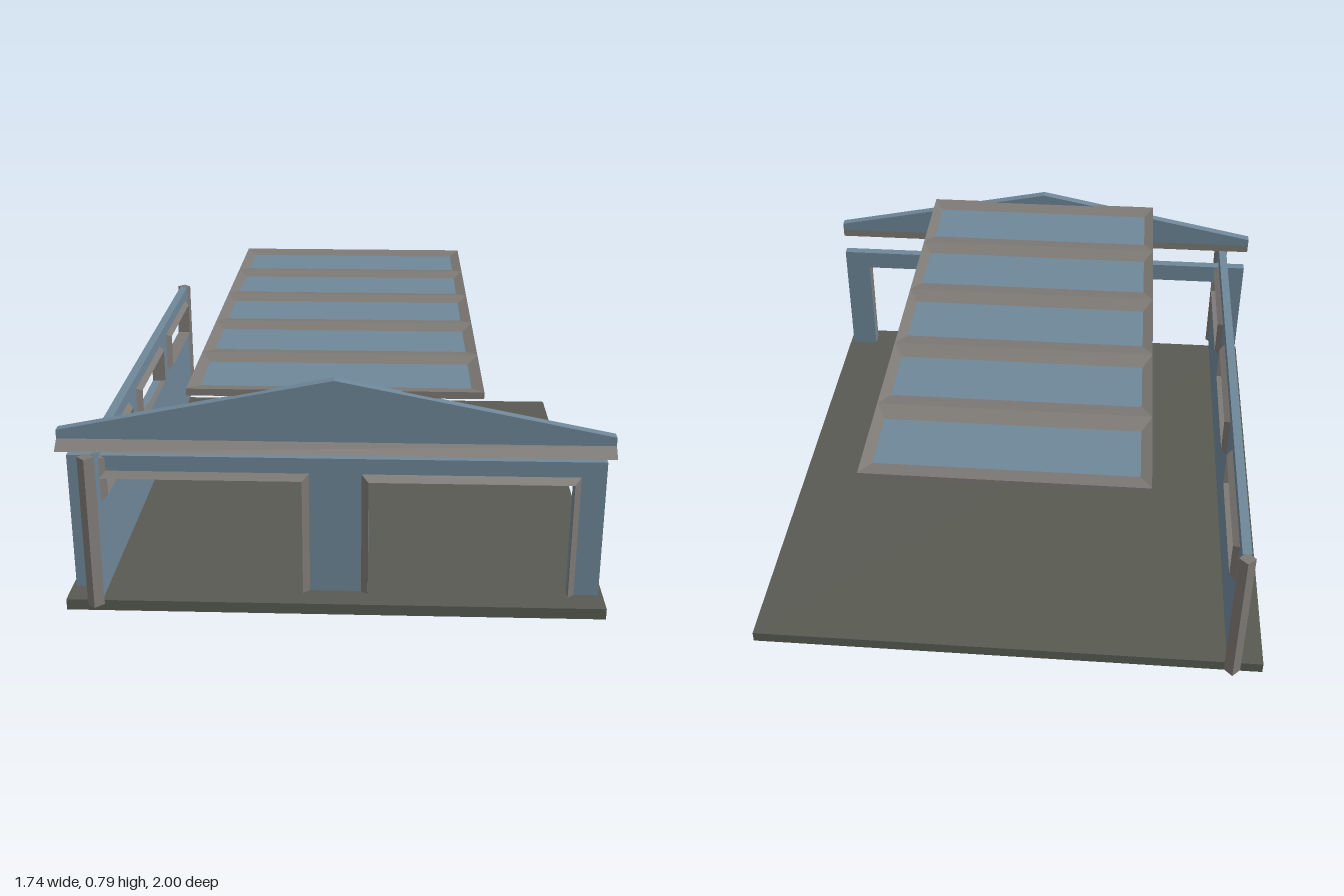
import * as THREE from 'three';

const material = (color, side = THREE.FrontSide) =>
  new THREE.MeshStandardMaterial({ color, side, flatShading: true });
const BLUE = material(0x6f8799);
const GREY = material(0x7d7975, THREE.DoubleSide);
const DARK = material(0x585a52);

const V = (x, y, z) => new THREE.Vector3(x, y, z);

function add(parent, name, geometry, mat) {
  const mesh = new THREE.Mesh(geometry, mat);
  mesh.name = name;
  parent.add(mesh);
  return mesh;
}

function outline(points) {
  return new THREE.Shape(points.map(([x, y]) => new THREE.Vector2(x, y)));
}

function extrude(shape, depth) {
  return new THREE.ExtrudeGeometry(shape, { depth, bevelEnabled: false });
}

// Flat quads between successive rings of points
function strip(rings, closed) {
  const out = [];
  for (let r = 0; r + 1 < rings.length; r++) {
    const a = rings[r], b = rings[r + 1], n = a.length;
    for (let i = 0; i < (closed ? n : n - 1); i++) {
      const j = (i + 1) % n;
      out.push(a[i], a[j], b[j], a[i], b[j], b[i]);
    }
  }
  const geometry = new THREE.BufferGeometry().setFromPoints(out);
  geometry.computeVertexNormals();
  return geometry;
}

// Sloping trim that rises from the wall face and lines the opening
function trim(outer, inner, thickness, rise, closed) {
  const at = (pts, z) => pts.map(([x, y]) => V(x, y, z));
  return strip([at(outer, thickness), at(inner, thickness + rise), at(inner, 0)], closed);
}

const rect = (x0, x1, y0, y1) => [[x0, y0], [x1, y0], [x1, y1], [x0, y1]];

function sideWall() {
  const wall = new THREE.Group();
  wall.name = 'sideWall';
  const thickness = 0.03;
  const shape = outline(rect(-0.955, 0.955, 0.045, 0.555));
  for (const c of [-0.632, -0.005, 0.635]) {
    const inner = rect(c - 0.225, c + 0.225, 0.375, 0.5);
    const outer = rect(c - 0.245, c + 0.245, 0.36, 0.512);
    shape.holes.push(new THREE.Path(inner.map(([x, y]) => new THREE.Vector2(x, y))));
    add(wall, 'windowFrame', trim(outer, inner, thickness, 0.02, true), GREY);
  }
  add(wall, 'wallPanel', extrude(shape, thickness), BLUE);
  // Four-sided posts at both ends
  for (const s of [-1, 1]) {
    const post = add(wall, 'endPost', new THREE.CylinderGeometry(0.027, 0.027, 0.51, 4), GREY);
    post.position.set(s * 0.973, 0.3, thickness / 2);
  }
  wall.rotation.y = Math.PI / 2;
  wall.position.x = -0.775;
  return wall;
}

function frontWall() {
  const wall = new THREE.Group();
  wall.name = 'frontWall';
  const y0 = 0.045, top = 0.44, a = 0.105, b = 0.75, thickness = 0.035;
  const shape = outline([
    [-0.85, y0], [-b, y0], [-b, top], [-a, top], [-a, y0],
    [a, y0], [a, top], [b, top], [b, y0], [0.85, y0], [0.85, 0.512], [-0.85, 0.512],
  ]);
  add(wall, 'wallPanel', extrude(shape, thickness), BLUE);
  for (const s of [-1, 1]) {
    const inner = [[s * a, y0], [s * a, top], [s * b, top], [s * b, y0]];
    const outer = [[s * 0.083, y0], [s * 0.083, 0.46], [s * 0.771, 0.46], [s * 0.771, y0]];
    add(wall, 'doorFrame', trim(outer, inner, thickness, 0.02, false), GREY);
  }
  wall.position.z = 0.825;
  return wall;
}

function gable() {
  const group = new THREE.Group();
  group.name = 'gable';
  const face = outline([[-0.862, 0.59], [0.862, 0.59], [0.862, 0.618], [0, 0.79], [-0.862, 0.618]]);
  add(group, 'gablePanel', extrude(face, 0.033), BLUE).position.z = 0.88;
  // Flared sill below the panel, profile in z and y
  const sill = extrude(outline([[-0.88, 0.56], [-0.88, 0.59], [-0.913, 0.59], [-0.95, 0.56]]), 1.724);
  const mesh = add(group, 'gableSill', sill, GREY);
  mesh.rotation.y = Math.PI / 2;
  mesh.position.x = -0.862;
  return group;
}

function roof() {
  const group = new THREE.Group();
  group.name = 'roof';
  const w = 0.455, top = 0.75, low = 0.738, base = 0.728;
  const loop = (x, y, z0, z1) => [V(-x, y, z0), V(-x, y, z1), V(x, y, z1), V(x, y, z0)];
  const ridges = [-0.895, -0.538, -0.182, 0.175, 0.531, 0.888];
  // Recessed panels separated by sloping ribs
  for (let i = 0; i < 5; i++) {
    const z0 = ridges[i], z1 = ridges[i + 1];
    add(group, 'roofRibs', strip([loop(w, top, z0, z1), loop(w - 0.035, low, z0 + 0.066, z1 - 0.066)], true), GREY);
    const panel = add(group, 'roofPanel', new THREE.PlaneGeometry(2 * w - 0.07, z1 - z0 - 0.132), BLUE);
    panel.rotation.x = -Math.PI / 2;
    panel.position.set(0, low, (z0 + z1) / 2);
  }
  const first = ridges[0], last = ridges[5];
  add(group, 'roofEdge', strip([loop(w, top, first, last), loop(w, base, first, last)], true), GREY);
  const under = add(group, 'roofUnderside', new THREE.PlaneGeometry(2 * w, last - first), GREY);
  under.rotation.x = Math.PI / 2;
  under.position.set(0, base, (first + last) / 2);
  return group;
}

export function createModel() {
  const model = new THREE.Group();
  model.name = 'garage';
  add(model, 'floor', new THREE.BoxGeometry(1.735, 0.037, 1.87), DARK).position.y = 0.0185;
  model.add(sideWall(), frontWall(), gable(), roof());
  return model;
}
